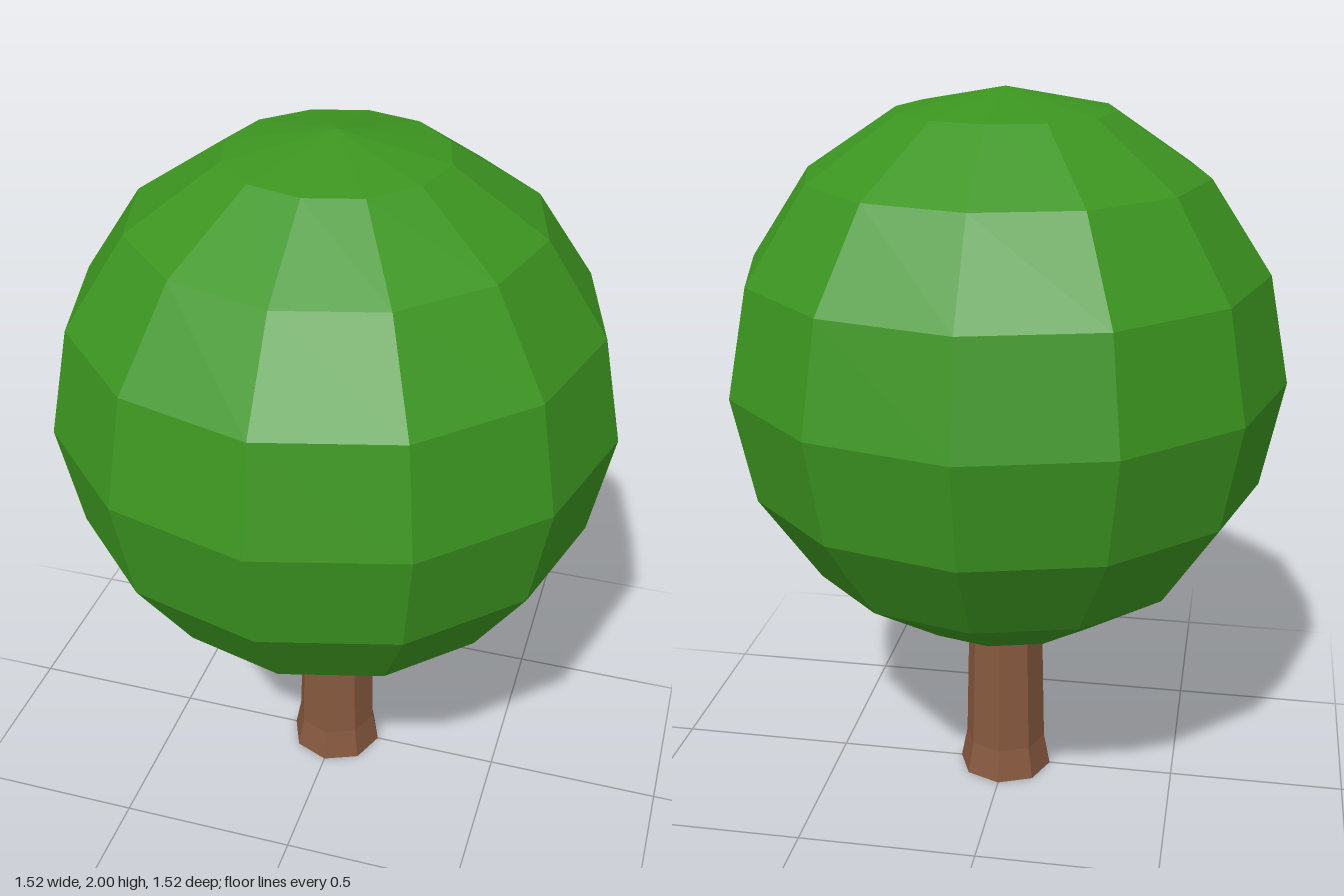
import * as THREE from 'three';

export function createModel() {
  const tree = new THREE.Group();
  tree.name = 'tree';

  const add = (name, geometry, color) => {
    const mesh = new THREE.Mesh(geometry, new THREE.MeshStandardMaterial({ color, flatShading: true }));
    mesh.name = name;
    tree.add(mesh);
    return mesh;
  };

  // Eight-sided trunk with a flared foot, running up into the crown
  const profile = [[0, 0], [0.135, 0], [0.117, 0.095], [0.106, 0.56], [0, 0.56]]
    .map(([r, y]) => new THREE.Vector2(r, y));
  add('trunk', new THREE.LatheGeometry(profile, 8), 0x87593f);

  // Faceted round crown
  const radius = 0.762;
  add('crown', new THREE.SphereGeometry(radius, 12, 8), 0x3c9520).position.y = 2 - radius;

  return tree;
}
